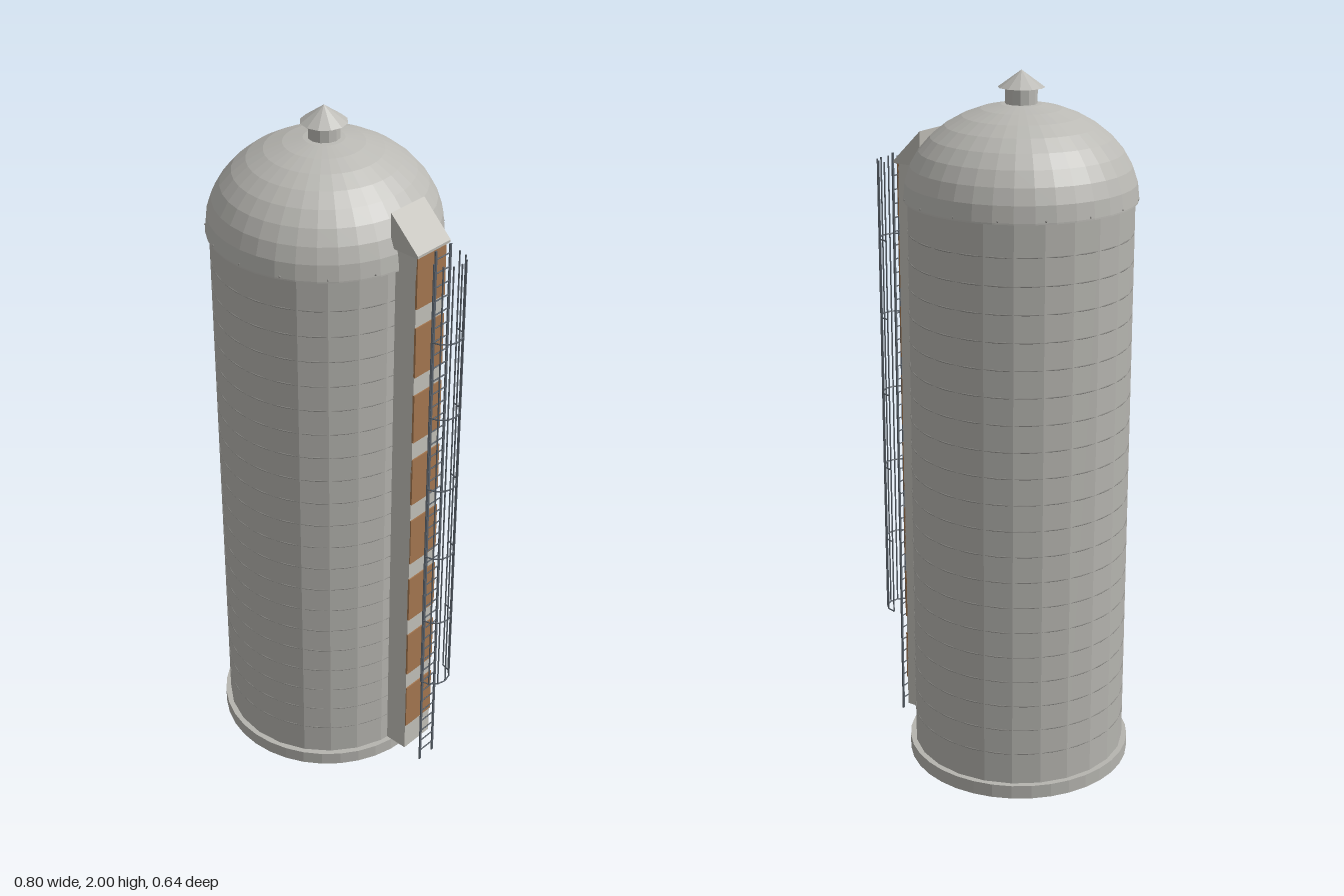
import * as THREE from 'three';

const CX = -0.075; // silo axis
const mat = (name, color, extra = {}) => {
  const m = new THREE.MeshStandardMaterial({ color, ...extra });
  m.name = name;
  return m;
};

export function createModel() {
  const root = new THREE.Group();
  root.name = 'silo';
  const concrete = mat('concrete', 0xb5b4af, { flatShading: true });
  const domeMetal = mat('domeMetal', 0xbab9b4, { flatShading: true, side: THREE.DoubleSide });
  const chuteMetal = mat('chuteMetal', 0xc1bfb8, { flatShading: true });
  const hoodMetal = mat('hoodMetal', 0xbab8b1, { flatShading: true });
  const hoopSteel = mat('hoopSteel', 0x8f8e8a);
  const ladderSteel = mat('ladderSteel', 0x59616a);
  const doorWood = mat('doorWood', 0xa4764f);

  const add = (name, geo, material, x = 0, y = 0, z = 0, parent = root) => {
    const m = new THREE.Mesh(geo, material);
    m.name = name;
    m.position.set(x, y, z);
    parent.add(m);
    return m;
  };
  const group = (name) => {
    const g = new THREE.Group();
    g.name = name;
    root.add(g);
    return g;
  };

  // Footing and barrel
  add('footing', new THREE.CylinderGeometry(0.322, 0.322, 0.04, 36), concrete, CX, 0.02);
  add('barrel', new THREE.CylinderGeometry(0.307, 0.307, 1.63, 24), concrete, CX, 0.855);

  // Thin tension hoops, partly sunk into the barrel
  const hoops = group('hoops');
  const hoopGeo = new THREE.TorusGeometry(0.305, 0.002, 5, 48).rotateX(Math.PI / 2);
  for (let i = 0; i < 20; i++) add('hoop', hoopGeo, hoopSteel, CX, 1.57 - i * 0.0756, 0, hoops);

  // Dome with a closed underside
  const profile = [new THREE.Vector2(0, 1.658), new THREE.Vector2(0.317, 1.658)];
  for (let i = 0; i <= 9; i++) {
    const a = (i / 9) * Math.PI / 2;
    profile.push(new THREE.Vector2(0.317 * Math.cos(a), 1.662 + 0.253 * Math.sin(a)));
  }
  add('dome', new THREE.LatheGeometry(profile, 36), domeMetal, CX);

  // Bolts along the dome rim
  const bolts = group('rimBolts');
  const boltGeo = new THREE.SphereGeometry(0.003, 6, 4);
  for (let i = 0; i < 16; i++) {
    const a = (i / 16) * Math.PI * 2;
    add('bolt', boltGeo, hoopSteel, CX + 0.3155 * Math.cos(a), 1.666, 0.3155 * Math.sin(a), bolts);
  }

  // Roof vent
  add('ventNeck', new THREE.CylinderGeometry(0.043, 0.043, 0.07, 12), domeMetal, CX, 1.925);
  add('ventCap', new THREE.ConeGeometry(0.063, 0.045, 12), domeMetal, CX, 1.9775);

  // Unloading chute with wooden doors
  add('chute', new THREE.BoxGeometry(0.09, 1.685, 0.11), chuteMetal, 0.25, 0.8825);
  const doors = group('chuteDoors');
  const doorGeo = new THREE.BoxGeometry(0.006, 0.15, 0.11);
  for (let i = 0; i < 8; i++) add('door', doorGeo, doorWood, 0.2955, 0.205 + i * 0.2055, 0, doors);

  // Sloped chute hood
  const side = new THREE.Shape();
  side.moveTo(0.214, 1.72);
  side.lineTo(0.305, 1.72);
  side.lineTo(0.305, 1.727);
  side.lineTo(0.214, 1.817);
  side.closePath();
  add('chuteHood', new THREE.ExtrudeGeometry(side, { depth: 0.126, bevelEnabled: false }), hoodMetal, 0, 0, -0.063);

  // Ladder
  const ladder = group('ladder');
  const railGeo = new THREE.BoxGeometry(0.004, 1.74, 0.007);
  for (const s of [-1, 1]) add('ladderRail', railGeo, ladderSteel, 0.334, 0.87, s * 0.028, ladder);
  const rungGeo = new THREE.CylinderGeometry(0.002, 0.002, 0.056, 6).rotateX(Math.PI / 2);
  for (let i = 0; i < 43; i++) add('rung', rungGeo, ladderSteel, 0.334, 0.035 + i * 0.04, 0, ladder);

  // Safety cage: half hoops and upright bars
  const cage = group('safetyCage');
  const cageHoopGeo = new THREE.TorusGeometry(0.05, 0.0023, 5, 6, Math.PI)
    .rotateX(Math.PI / 2).rotateY(Math.PI / 2);
  for (let i = 0; i < 6; i++) add('cageHoop', cageHoopGeo, ladderSteel, 0.347, 0.336 + i * 0.231, 0, cage);
  const barGeo = new THREE.CylinderGeometry(0.0022, 0.0022, 1.38, 6);
  for (let i = -3; i <= 3; i++) {
    const a = i * Math.PI / 6;
    add('cageBar', barGeo, ladderSteel, 0.347 + 0.05 * Math.cos(a), 1.026, 0.05 * Math.sin(a), cage);
  }
  return root;
}
